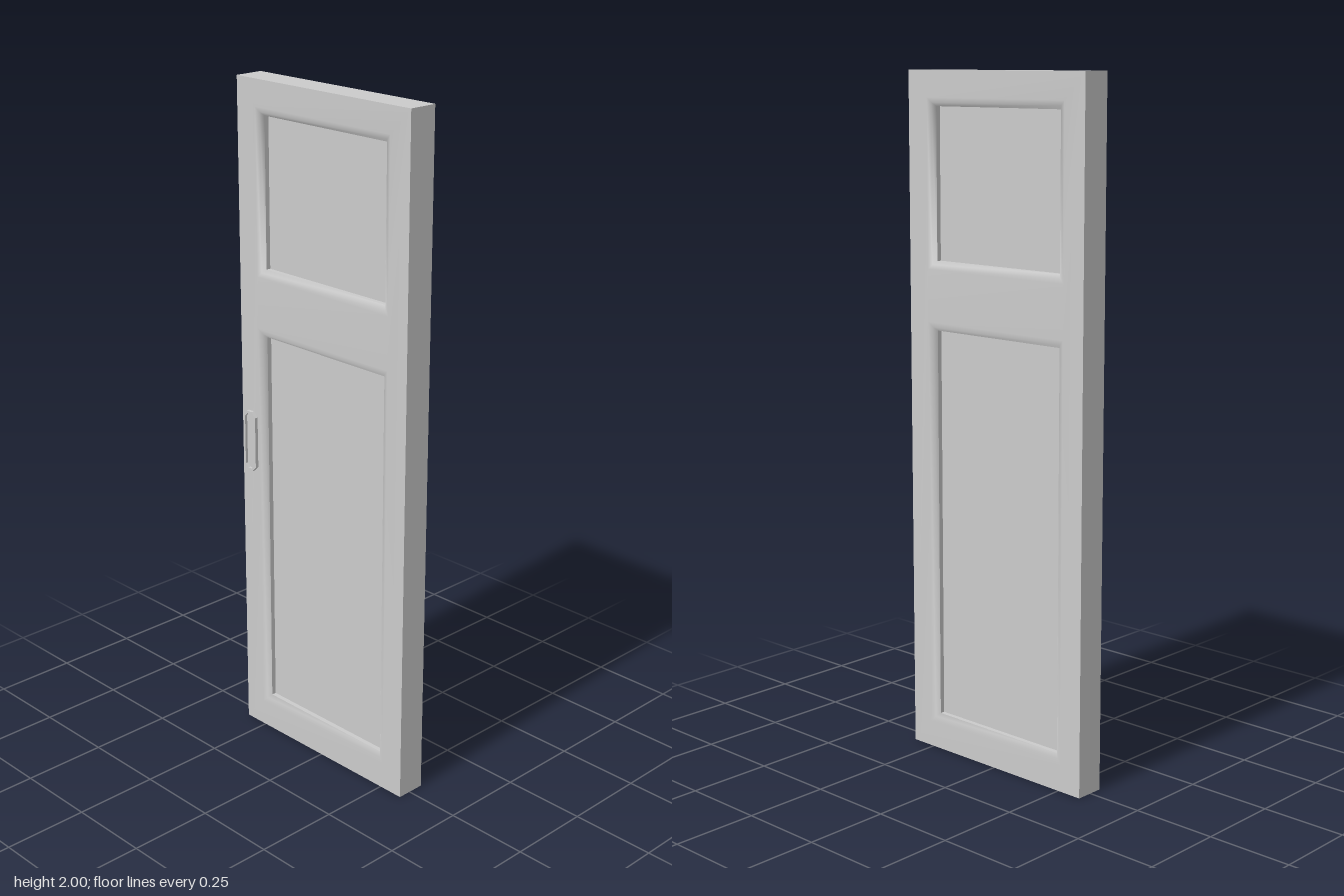
import * as THREE from 'three';
import { mergeGeometries, mergeVertices } from 'three/addons/utils/BufferGeometryUtils.js';

const HALF_WIDTH = 0.329, HEIGHT = 2, HALF_DEPTH = 0.044, CENTRE_X = 0.004;
const OPENING = 0.233; // half width of both panels
const PANELS = [[0.105, 1.265], [1.465, 1.9]]; // bottom and top of each panel
// moulding profile: [distance outside the panel, depth below the frame face]
const MOULDING = [[0.024, 0], [0.01, 0.004], [0, 0.014]];
const PANEL_DEPTH = 0.028;

const material = new THREE.MeshStandardMaterial({ color: 0xcccccc });

// counter-clockwise corners of a rectangle at height z
function rect(halfW, y0, y1, z) {
  return [[-halfW, y0], [halfW, y0], [halfW, y1], [-halfW, y1]]
    .map(([x, y]) => new THREE.Vector3(x, y, z));
}

// strip of flat quads between two closed loops
function ring(a, b) {
  const points = [];
  a.forEach((p, i) => {
    const j = (i + 1) % a.length;
    points.push(p, a[j], b[j], p, b[j], b[i]);
  });
  const geometry = new THREE.BufferGeometry().setFromPoints(points);
  geometry.computeVertexNormals();
  return geometry;
}

function addMesh(parent, name, geometry) {
  const mesh = new THREE.Mesh(geometry, material);
  mesh.name = name;
  parent.add(mesh);
  return mesh;
}

// stiles and rails with softly shaded mouldings around the openings
function frameGeometry() {
  const shape = new THREE.Shape(rect(HALF_WIDTH, 0, HEIGHT, 0).map(p => new THREE.Vector2(p.x, p.y)));
  const parts = [];
  for (const [y0, y1] of PANELS) {
    const loops = MOULDING.map(([out, depth]) => rect(OPENING + out, y0 - out, y1 + out, HALF_DEPTH - depth));
    shape.holes.push(new THREE.Path(loops[0].map(p => new THREE.Vector2(p.x, p.y))));
    for (let i = 1; i < loops.length; i++) parts.push(ring(loops[i - 1], loops[i]));
  }
  const face = new THREE.ShapeGeometry(shape).translate(0, 0, HALF_DEPTH).toNonIndexed();
  const all = [face, ...parts];
  all.forEach(g => { g.deleteAttribute('uv'); g.deleteAttribute('normal'); });
  const merged = mergeVertices(mergeGeometries(all));
  merged.computeVertexNormals();
  return merged;
}

// one face of the door, built facing local +z
function doorFace(name) {
  const group = new THREE.Group();
  group.name = name;
  addMesh(group, 'frame', frameGeometry());
  const creaseZ = HALF_DEPTH - MOULDING[MOULDING.length - 1][1];
  const panelZ = HALF_DEPTH - PANEL_DEPTH;
  PANELS.forEach(([y0, y1], i) => {
    const label = i ? 'upperPanel' : 'lowerPanel';
    addMesh(group, label + 'Edge', ring(rect(OPENING, y0, y1, creaseZ), rect(OPENING, y0, y1, panelZ)));
    addMesh(group, label, new THREE.PlaneGeometry(OPENING * 2, y1 - y0).translate(0, (y0 + y1) / 2, panelZ));
  });
  return group;
}

// upright slot outline with three-sided ends
function slot(halfW, halfH) {
  const c = halfW * 0.414, s = halfH - halfW + c;
  return [[halfW, -s], [halfW, s], [c, halfH], [-c, halfH], [-halfW, s], [-halfW, -s], [-c, -halfH], [c, -halfH]]
    .map(([x, y]) => new THREE.Vector2(x, y));
}

// recessed finger pull: raised rim around a shallow plate
function fingerPull() {
  const group = new THREE.Group();
  group.name = 'fingerPull';
  const rim = new THREE.Shape(slot(0.0255, 0.093));
  const hole = slot(0.018, 0.0855);
  rim.holes.push(new THREE.Path(hole));
  addMesh(group, 'pullRim', new THREE.ExtrudeGeometry(rim, { depth: 0.01, bevelEnabled: false }));
  addMesh(group, 'pullPlate', new THREE.ShapeGeometry(new THREE.Shape(hole)).translate(0, 0, 0.002));
  group.position.set(-0.291, 0.937, HALF_DEPTH);
  return group;
}

export function createModel() {
  const door = new THREE.Group();
  door.name = 'door';

  // mirrored left and right faces
  for (const side of [1, -1]) {
    const face = doorFace(side > 0 ? 'leftFace' : 'rightFace');
    face.rotation.y = side * Math.PI / 2;
    face.position.x = CENTRE_X;
    if (side < 0) face.add(fingerPull());
    door.add(face);
  }

  // narrow outer edges
  const edges = addMesh(door, 'outerEdges', ring(
    rect(HALF_WIDTH, 0, HEIGHT, HALF_DEPTH).reverse(),
    rect(HALF_WIDTH, 0, HEIGHT, -HALF_DEPTH).reverse()));
  edges.rotation.y = Math.PI / 2;
  edges.position.x = CENTRE_X;
  return door;
}
